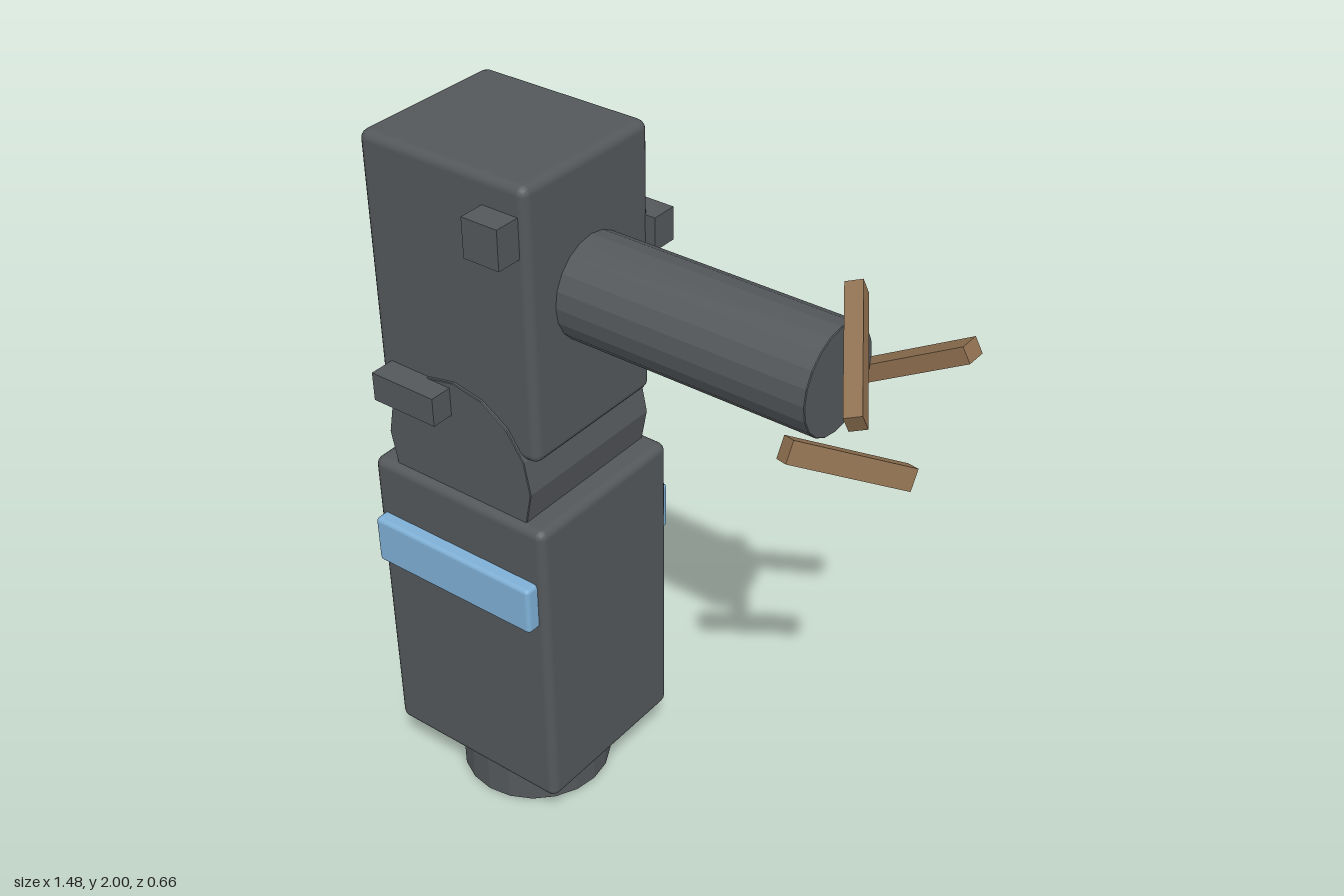
import * as THREE from 'three';
import { RoundedBoxGeometry } from 'three/addons/geometries/RoundedBoxGeometry.js';

export function createModel() {
  const model = new THREE.Group();
  const paint = (name, color) => {
    const m = new THREE.MeshStandardMaterial({ color });
    m.name = name;
    return m;
  };
  const gray = paint('darkGray', 0x54585b);
  const blue = paint('lightBlue', 0x7fb0d6);
  const brown = paint('brown', 0x8f7050);

  const add = (name, geometry, material, x, y, z) => {
    const mesh = new THREE.Mesh(geometry, material);
    mesh.name = name;
    mesh.position.set(x, y, z);
    model.add(mesh);
    return mesh;
  };

  // Box given by its limits on each axis; a radius rounds its edges
  const block = (name, material, [x0, x1], [y0, y1], [z0, z1], radius = 0) => {
    const size = [x1 - x0, y1 - y0, z1 - z0];
    const geometry = radius
      ? new RoundedBoxGeometry(...size, 2, radius)
      : new THREE.BoxGeometry(...size);
    return add(name, geometry, material, (x0 + x1) / 2, (y0 + y1) / 2, (z0 + z1) / 2);
  };

  // Faceted cylinder along y with a small bevel on both rims
  const drum = (radius, height, bevel, sides) => {
    const h = height / 2;
    const profile = [[0, -h], [radius - bevel, -h], [radius, bevel - h],
      [radius, h - bevel], [radius - bevel, h], [0, h]];
    const points = profile.map(([x, y]) => new THREE.Vector2(x, y));
    const geometry = new THREE.LatheGeometry(points, sides).toNonIndexed();
    geometry.computeVertexNormals();
    return geometry;
  };

  // Lower arm: wrist peg, body and the band around front and back
  add('wristPeg', drum(0.214, 0.18, 0.008, 20), gray, -0.458, 0.09, 0.03);
  block('lowerBody', gray, [-0.745, -0.173], [0.165, 1.077], [-0.228, 0.287], 0.025);
  block('band', blue, [-0.722, -0.197], [0.772, 0.912], [-0.262, 0.325], 0.012);

  // Elbow hinge and upper body
  add('elbowHinge', drum(0.236, 0.47, 0.002, 16), gray, -0.458, 1.167, 0.03)
    .rotation.x = Math.PI / 2;
  block('upperBody', gray, [-0.711, -0.203], [1.255, 2], [-0.197, 0.257], 0.025);

  // Barrel pointing to the side
  add('barrel', drum(0.137, 0.8, 0.002, 20), gray, 0.09, 1.657, 0.028)
    .rotation.z = Math.PI / 2;

  // Three slanted fingers spread around the end of the barrel
  const fingers = [
    { radial: [0, 0, -1], along: [0.866, 0.5, 0] },
    { radial: [0, 0.866, 0.5], along: [0.5, -0.433, 0.75] },
    { radial: [0, -0.866, 0.5], along: [0.5, -0.433, -0.75] },
  ];
  for (const { radial, along } of fingers) {
    const u = new THREE.Vector3(...along).normalize();
    const v = new THREE.Vector3(...radial);
    const w = new THREE.Vector3().crossVectors(u, v);
    const finger = add('finger', new THREE.BoxGeometry(0.34, 0.055, 0.042), brown,
      0.577, 1.657 + 0.163 * v.y, 0.028 + 0.163 * v.z);
    finger.setRotationFromMatrix(new THREE.Matrix4().makeBasis(u, v, w));
  }

  // Small blocks on the front
  block('frontKnob', gray, [-0.33, -0.225], [1.82, 1.925], [0.24, 0.328]);
  block('frontLatch', gray, [-0.67, -0.47], [1.305, 1.385], [0.24, 0.328]);

  // Back: strap, round shield and the clips around it
  block('backStrap', brown, [-0.547, -0.388], [1.31, 1.885], [-0.23, -0.18]);
  add('shield', drum(0.214, 0.19, 0.014, 16), blue, -0.517, 1.598, -0.235)
    .rotation.x = Math.PI / 2;
  block('upperClip', gray, [-0.41, -0.308], [1.75, 1.842], [-0.238, -0.18]);
  block('outerClip', gray, [-0.69, -0.6], [1.74, 1.83], [-0.24, -0.18]);
  block('lowerClip', gray, [-0.41, -0.308], [1.375, 1.47], [-0.238, -0.18]);
  block('sideClip', gray, [-0.37, -0.175], [1.665, 1.755], [-0.254, -0.18]);

  return model;
}
